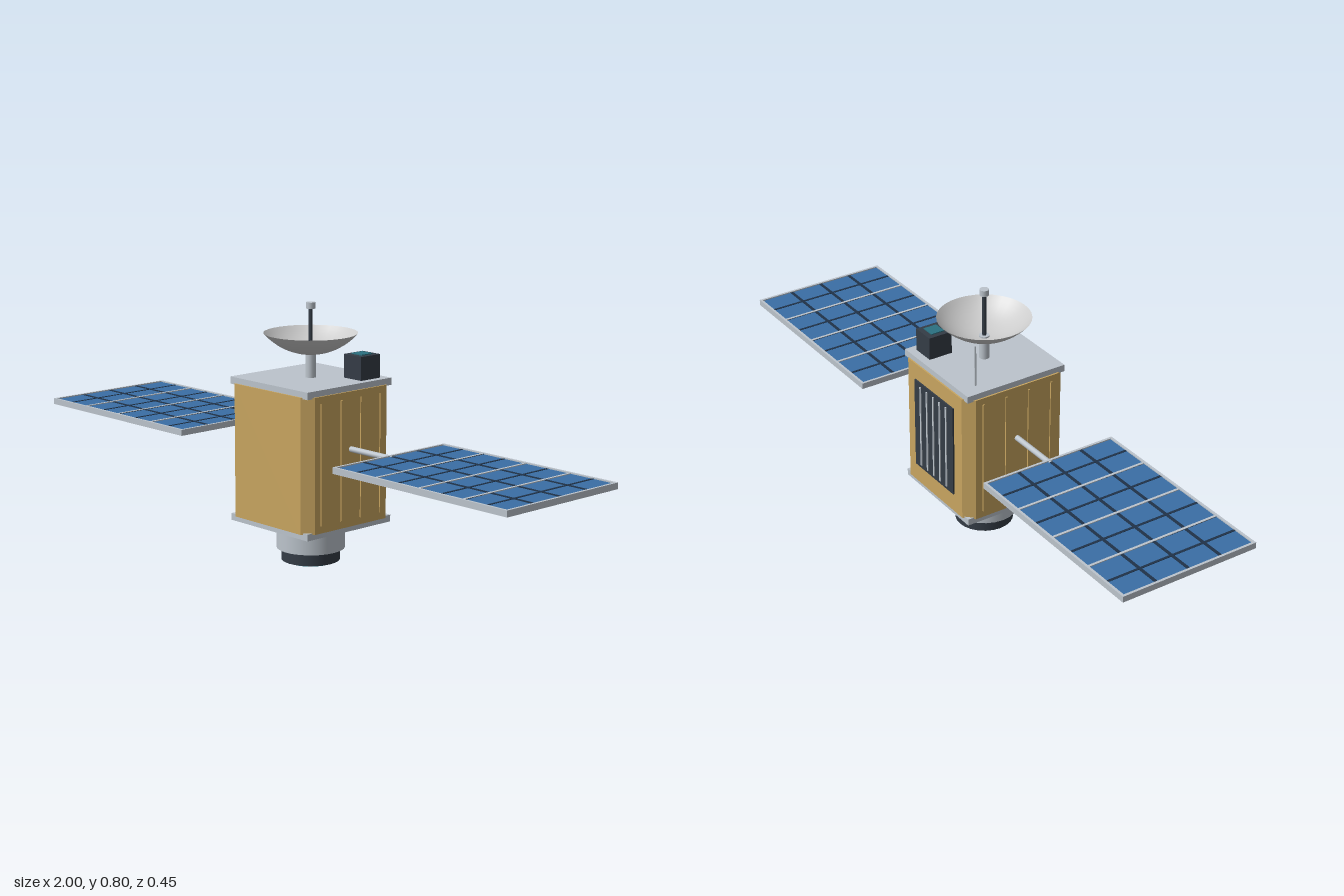
import * as THREE from 'three';

const paint = (color, side = THREE.FrontSide) => new THREE.MeshStandardMaterial({ color, side });
const MAT = {
  gold: paint(0xc8a560),
  silver: paint(0xbcc4cc),
  dark: paint(0x343c46),
  blue: paint(0x3a6ea5),
  grid: paint(0x1f3248),
  glass: paint(0x2a7080),
  dish: paint(0xdadcde, THREE.DoubleSide),
};

function add(parent, name, geometry, material, x = 0, y = 0, z = 0) {
  const mesh = new THREE.Mesh(geometry, material);
  mesh.name = name;
  mesh.position.set(x, y, z);
  parent.add(mesh);
  return mesh;
}

const box = (parent, name, mat, w, h, d, x, y, z) =>
  add(parent, name, new THREE.BoxGeometry(w, h, d), mat, x, y, z);

// Upright cylinder between two heights
const post = (parent, name, mat, r, y0, y1, x = 0, z = 0, sides = 24) =>
  add(parent, name, new THREE.CylinderGeometry(r, r, y1 - y0, sides), mat, x, (y0 + y1) / 2, z);

// Chamfered square prism with end plates and side ribs
function buildBody() {
  const g = new THREE.Group();
  g.name = 'body';
  const a = 0.176, b = 0.146;
  const outline = new THREE.Shape(
    [[a, -b], [a, b], [b, a], [-b, a], [-a, b], [-a, -b], [-b, -a], [b, -a]].map(p => new THREE.Vector2(...p)));
  const prism = new THREE.ExtrudeGeometry(outline, { depth: 0.411, bevelEnabled: false });
  prism.rotateX(-Math.PI / 2);
  add(g, 'hull', prism, MAT.gold, 0, 0.141, 0);
  box(g, 'topPlate', MAT.silver, 0.342, 0.022, 0.342, 0, 0.559, 0);
  box(g, 'bottomPlate', MAT.silver, 0.342, 0.021, 0.342, 0, 0.1355, 0);
  for (const s of [-1, 1])
    for (let i = 0; i < 4; i++)
      box(g, 'sideRib', MAT.gold, 0.008, 0.368, 0.006, s * 0.176, 0.347, -0.12 + i * 0.08);
  return g;
}

// Downward-looking instrument
function buildCamera() {
  const g = new THREE.Group();
  g.name = 'instrument';
  post(g, 'barrel', MAT.silver, 0.105, 0.044, 0.13);
  post(g, 'lensHood', MAT.dark, 0.09, 0.006, 0.046);
  post(g, 'lens', MAT.glass, 0.073, 0, 0.008);
  return g;
}

// Dish antenna with mast and feed
function buildDish() {
  const g = new THREE.Group();
  g.name = 'dishAntenna';
  post(g, 'mast', MAT.silver, 0.016, 0.565, 0.645, 0, 0, 16);
  const R = 0.1876, rimAngle = Math.asin(0.142 / R), profile = [];
  for (let i = 0; i <= 10; i++) {
    const t = rimAngle * i / 10;
    profile.push(new THREE.Vector2(R * Math.sin(t), R * (1 - Math.cos(t))));
  }
  add(g, 'reflector', new THREE.LatheGeometry(profile, 32), MAT.dish, 0, 0.64, 0);
  post(g, 'feedRod', MAT.dark, 0.006, 0.64, 0.78, 0, 0, 10);
  post(g, 'feedHorn', MAT.silver, 0.014, 0.778, 0.797, 0, 0, 16);
  return g;
}

// Box sensor and whip aerial on the top plate
function buildDeckParts() {
  const g = new THREE.Group();
  g.name = 'deckParts';
  box(g, 'sensorBox', MAT.dark, 0.074, 0.073, 0.078, 0.111, 0.6055, -0.106);
  box(g, 'sensorWindow', MAT.glass, 0.044, 0.006, 0.044, 0.111, 0.642, -0.106);
  post(g, 'whipAerial', MAT.silver, 0.003, 0.565, 0.7, -0.126, -0.115, 8);
  return g;
}

// Finned radiator on the back
function buildRadiator() {
  const g = new THREE.Group();
  g.name = 'radiator';
  box(g, 'radiatorPanel', MAT.dark, 0.21, 0.297, 0.008, 0, 0.352, -0.177);
  for (let i = -2; i <= 2; i++)
    box(g, 'radiatorFin', MAT.silver, 0.006, 0.275, 0.006, i * 0.035, 0.352, -0.181);
  return g;
}

// Solar wing on +x; the other side is the same wing turned half round
function buildWing() {
  const g = new THREE.Group();
  g.name = 'solarWing';
  const x0 = 0.337, x1 = 1, len = x1 - x0, mid = (x0 + x1) / 2, half = 0.227, y = 0.3775, rim = 0.008;
  const arm = add(g, 'arm', new THREE.CylinderGeometry(0.009, 0.009, 0.185, 12), MAT.silver, 0.2575, y, 0);
  arm.rotation.z = Math.PI / 2;
  box(g, 'cells', MAT.blue, len - rim, 0.012, 2 * half - rim, mid, y, 0);
  for (const s of [-1, 1]) {
    box(g, 'longRail', MAT.silver, len, 0.019, rim, mid, y, s * (half - rim / 2));
    box(g, 'endRail', MAT.silver, rim, 0.019, 2 * half - 2 * rim, mid + s * (len - rim) / 2, y, 0);
  }
  // Dark seams between the cells, with pale dividers between the four sections
  for (let i = 1; i < 8; i++) {
    const x = x0 + len * i / 8;
    box(g, 'cellSeam', MAT.grid, 0.008, 0.014, 2 * half - 2 * rim, x, y, 0);
    if (i % 2 === 0) box(g, 'sectionDivider', MAT.silver, 0.008, 0.006, 2 * half - 2 * rim, x, y + 0.0055, 0);
  }
  for (let i = -1; i <= 1; i++)
    box(g, 'rowSeam', MAT.grid, len - 2 * rim, 0.0145, 0.01, mid, y, i * 0.11);
  return g;
}

export function createModel() {
  const model = new THREE.Group();
  model.name = 'satellite';
  const left = buildWing(), right = buildWing();
  left.name = 'leftWing';
  right.name = 'rightWing';
  right.rotation.y = Math.PI;
  model.add(buildBody(), buildCamera(), buildDish(), buildDeckParts(), buildRadiator(), left, right);
  return model;
}
